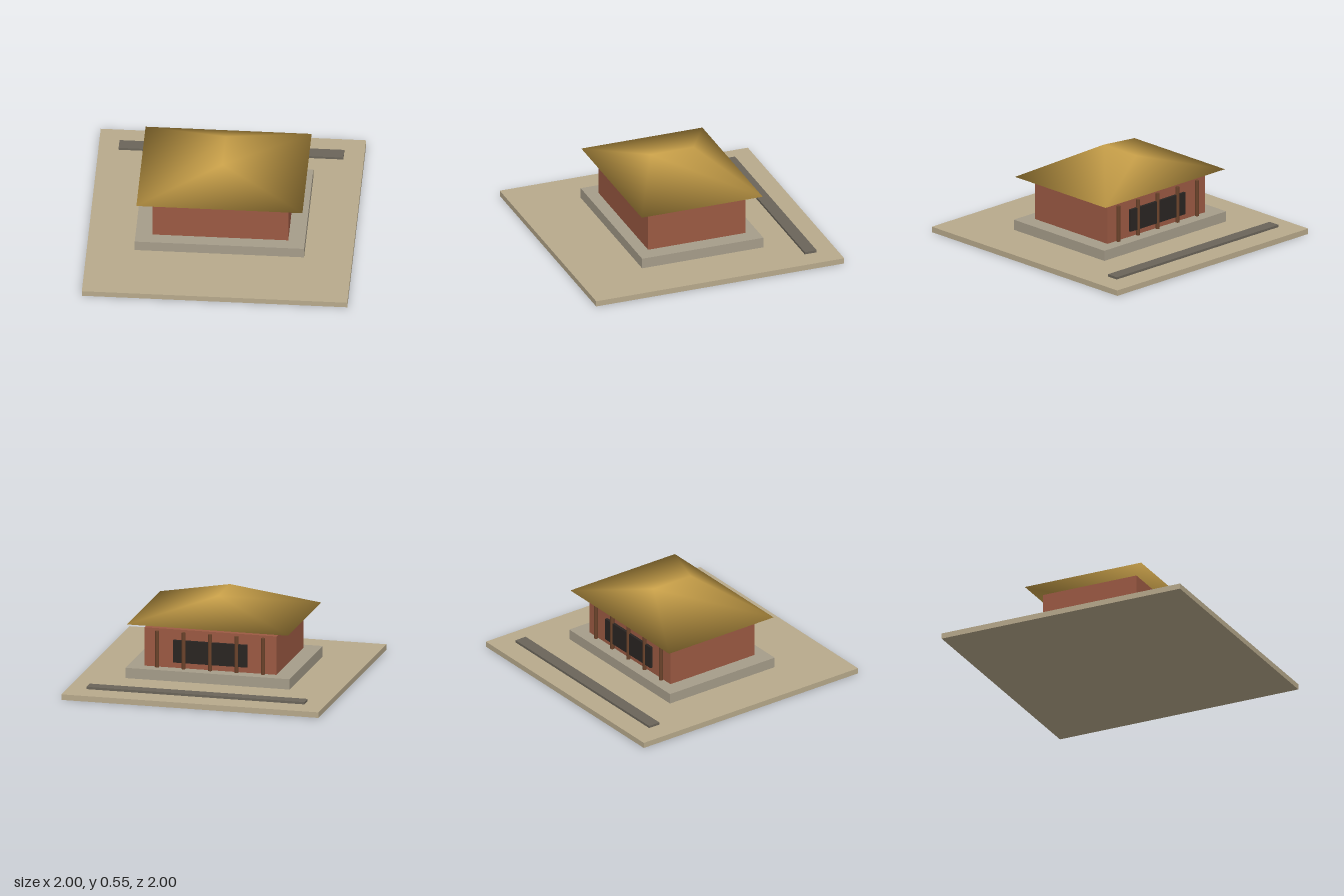
import * as THREE from 'three';

const mat = (color) => new THREE.MeshStandardMaterial({ color });

// Box given by its size in plan, its bottom and top heights and its z position
function block(name, w, d, y0, y1, z, material) {
  const mesh = new THREE.Mesh(new THREE.BoxGeometry(w, y1 - y0, d), material);
  mesh.position.set(0, (y0 + y1) / 2, z);
  mesh.name = name;
  return mesh;
}

// Closed hipped roof with its ridge running front to back, smooth shaded
function hippedRoof(a, b, ridge, y0, y1, material) {
  const corners = [
    -a, y0, -b, a, y0, -b, a, y0, b, -a, y0, b, // eaves
    0, y1, -ridge, 0, y1, ridge, // ridge ends
  ];
  const faces = [
    3, 2, 5, 1, 0, 4, // front and back hips
    2, 1, 5, 1, 4, 5, // left slope
    0, 3, 4, 3, 5, 4, // right slope
    0, 1, 2, 0, 2, 3, // underside
  ];
  const geo = new THREE.BufferGeometry();
  geo.setAttribute('position', new THREE.Float32BufferAttribute(corners, 3));
  geo.setIndex(faces);
  geo.computeVertexNormals();
  const mesh = new THREE.Mesh(geo, material);
  mesh.name = 'roof';
  return mesh;
}

export function createModel() {
  const model = new THREE.Group();
  model.name = 'pavilion';

  // Everything is set out square, then turned slightly on the site
  const site = new THREE.Group();
  site.name = 'site';
  site.rotation.y = -0.22;
  model.add(site);

  site.add(
    block('ground', 1.672, 1.672, 0, 0.036, 0, mat(0xb8aa8c)),
    block('path', 1.416, 0.08, 0.043, 0.058, -0.66, mat(0x6b655a)),
    block('plinth', 1.067, 0.817, 0.05, 0.117, 0, mat(0xa69d8a)),
    block('walls', 0.857, 0.655, 0.117, 0.367, 0, mat(0x9c5a43)),
    block('windowPanel', 0.48, 0.02, 0.155, 0.3, -0.335, mat(0x2a2522)),
  );

  // Row of posts along the back wall
  const postGeo = new THREE.CylinderGeometry(0.013, 0.013, 0.236, 12);
  const postMat = mat(0x6b432b);
  for (let i = -2; i <= 2; i++) {
    const post = new THREE.Mesh(postGeo, postMat);
    post.position.set(i * 0.172, 0.235, -0.34);
    post.name = 'post';
    site.add(post);
  }

  site.add(hippedRoof(0.523, 0.408, 0.145, 0.4, 0.553, mat(0xcba24a)));
  return model;
}
